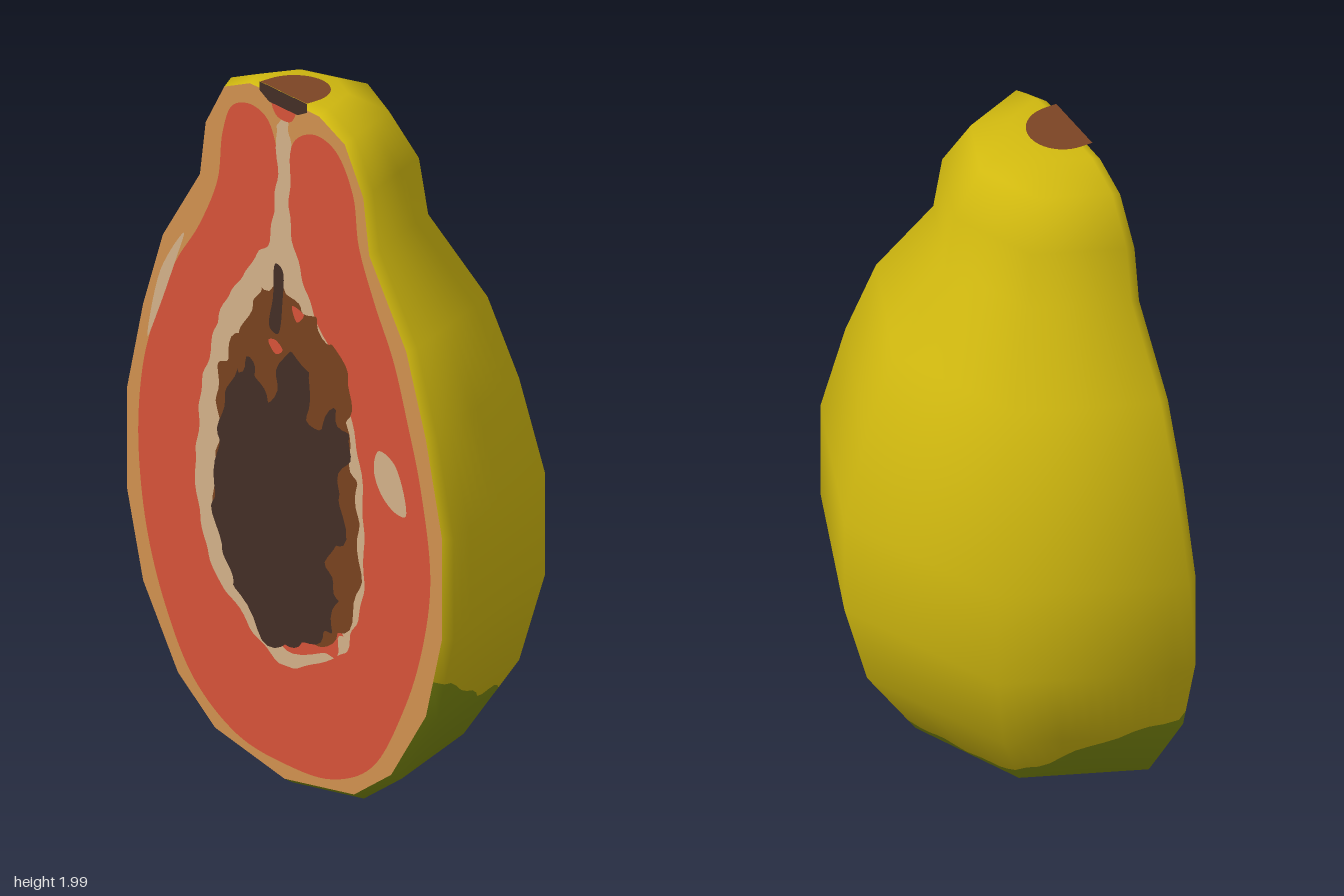
import * as THREE from 'three';

const mat = (name, color, side = THREE.FrontSide) => {
  const m = new THREE.MeshStandardMaterial({ color, side });
  m.name = name;
  return m;
};

// Half outline of the fruit, bottom to top: [radius, height]
const PROFILE = [[0, 0.008], [0.3, 0.06], [0.46, 0.17], [0.61, 0.39], [0.68, 0.64], [0.68, 0.93],
  [0.61, 1.2], [0.525, 1.43], [0.365, 1.66], [0.34, 1.82], [0.26, 1.95], [0.15, 1.996], [0, 1.998]];
const CUT = 0.315, FACE = 0.343;
const insetY = (y) => 1 + (y - 1) * 0.982;

// Smoothed profile normals [radial, vertical]
const NORMALS = PROFILE.map((p, i) => {
  const a = PROFILE[Math.max(i - 1, 0)], b = PROFILE[Math.min(i + 1, PROFILE.length - 1)];
  if (i === 0) return [0, -1];
  if (i === PROFILE.length - 1) return [0, 1];
  const n = new THREE.Vector2(b[1] - a[1], a[0] - b[0]).normalize();
  return [n.x, n.y];
});

function sample(y) {
  let i = 0;
  while (i < PROFILE.length - 2 && y > PROFILE[i + 1][1]) i++;
  const f = THREE.MathUtils.clamp((y - PROFILE[i][1]) / (PROFILE[i + 1][1] - PROFILE[i][1]), 0, 1);
  const mix = (t, k) => t[i][k] + (t[i + 1][k] - t[i][k]) * f;
  return { r: mix(PROFILE, 0), nr: mix(NORMALS, 0), ny: mix(NORMALS, 1) };
}

// Height of the unripe patch around the back, u = 0 (left edge) to 4 (right edge)
const EDGE = [[0, 0.5], [0.3, 0.43], [0.55, 0.36], [0.9, 0.33], [1.4, 0.26], [2, 0.2],
  [2.7, 0.18], [3.2, 0.24], [3.6, 0.37], [4, 0.45]];
function unripeHeight(u) {
  let i = 0;
  while (i < EDGE.length - 2 && u > EDGE[i + 1][0]) i++;
  const f = (u - EDGE[i][0]) / (EDGE[i + 1][0] - EDGE[i][0]);
  return EDGE[i][1] + (EDGE[i + 1][1] - EDGE[i][1]) * f + 0.008 * Math.sin(u * 17);
}

// Half-octagon skin, clamped row by row to one side of the unripe edge
function skinGeometry(clampRow) {
  const pos = [], nor = [], idx = [];
  const cols = [{ u: 0, bevel: true }];
  for (let i = 0; i <= 48; i++) cols.push({ u: i / 12 });
  cols.push({ u: 4, bevel: true });
  const rows = PROFILE.length;
  cols.forEach(({ u, bevel }, c) => {
    const k = Math.min(Math.floor(u), 3), f = u - k;
    const a = (k * Math.PI) / 4, b = ((k + 1) * Math.PI) / 4;
    const dx = Math.cos(a) * (1 - f) + Math.cos(b) * f;
    const dz = Math.sin(a) * (1 - f) + Math.sin(b) * f;
    PROFILE.forEach(([, py], j) => {
      const y = clampRow(py, unripeHeight(u));
      const { r, nr, ny } = sample(y);
      const n = new THREE.Vector3(dx * nr, ny, bevel ? 0.6 : -dz * nr).normalize();
      if (bevel) pos.push(dx * r * 0.978, insetY(y), FACE);
      else pos.push(dx * r, y, CUT - 0.98 * dz * r);
      nor.push(n.x, n.y, n.z);
      if (c < cols.length - 1 && j < rows - 1) {
        const p = c * rows + j, q = p + rows;
        idx.push(p, q, p + 1, q, q + 1, p + 1);
      }
    });
  });
  const g = new THREE.BufferGeometry();
  g.setAttribute('position', new THREE.Float32BufferAttribute(pos, 3));
  g.setAttribute('normal', new THREE.Float32BufferAttribute(nor, 3));
  g.setIndex(idx);
  return g;
}

// Closed smooth outline with an optional ragged edge
function blob(points, rough = 0) {
  const curve = new THREE.CatmullRomCurve3(points.map(([x, y]) => new THREE.Vector3(x, y, 0)), true);
  const n = points.length * 8;
  const pts = curve.getPoints(n).slice(0, n).map((p, i) => new THREE.Vector2(
    p.x + rough * (Math.sin(i * 1.1) + Math.sin(i * 0.47 + 1)),
    p.y + rough * (Math.cos(i * 0.9) + Math.sin(i * 0.61))));
  return new THREE.ShapeGeometry(new THREE.Shape(pts));
}

export function createModel() {
  const group = new THREE.Group();
  const yellow = mat('yellowSkin', 0xd0b80f), green = mat('greenSkin', 0x7f8c10);
  const rim = mat('rimFlesh', 0xd0914f), red = mat('redFlesh', 0xd65238);
  const cream = mat('creamFlesh', 0xd3b088), brown = mat('brownSeeds', 0x78421f);
  const dark = mat('darkSeeds', 0x432e25), stemMat = mat('stemBrown', 0x7c4424, THREE.DoubleSide);

  const add = (name, geometry, material, layer) => {
    const m = new THREE.Mesh(geometry, material);
    m.name = name;
    if (layer !== undefined) m.position.z = FACE + layer * 0.0014;
    group.add(m);
    return m;
  };

  // Skin
  add('ripeSkin', skinGeometry(Math.max), yellow);
  add('unripeSkin', skinGeometry(Math.min), green);

  // Cut face
  const half = PROFILE.map(([r, y]) => new THREE.Vector2(r * 0.978, insetY(y)));
  const other = half.slice(1, -1).reverse().map((p) => new THREE.Vector2(-p.x, p.y));
  add('cutFace', new THREE.ShapeGeometry(new THREE.Shape([...half, ...other])), rim, 0);

  // Red flesh with two lobes at the neck
  add('redFlesh', blob([[0, 0.07], [0.2, 0.09], [0.37, 0.18], [0.5, 0.38], [0.58, 0.58], [0.617, 0.8],
    [0.575, 1.05], [0.52, 1.22], [0.46, 1.38], [0.38, 1.52], [0.315, 1.66], [0.29, 1.8], [0.22, 1.9],
    [0.13, 1.92], [0.04, 1.87], [0.015, 1.75], [0.0, 1.6], [-0.02, 1.7], [-0.03, 1.82], [-0.07, 1.9],
    [-0.14, 1.92], [-0.22, 1.89], [-0.26, 1.8], [-0.28, 1.66], [-0.36, 1.5], [-0.46, 1.36], [-0.56, 1.14],
    [-0.6, 1], [-0.615, 0.8], [-0.58, 0.56], [-0.5, 0.36], [-0.38, 0.19], [-0.2, 0.09]]), red, 1);

  // Pale lining of the cavity, running up the neck
  add('cavityLining', blob([[0, 0.35], [0.13, 0.4], [0.25, 0.47], [0.305, 0.57], [0.34, 0.73], [0.33, 0.95],
    [0.29, 1.15], [0.22, 1.3], [0.11, 1.43], [0.045, 1.57], [0.02, 1.72], [0.03, 1.88], [0, 1.93],
    [-0.03, 1.88], [-0.03, 1.72], [-0.06, 1.57], [-0.13, 1.47], [-0.22, 1.36], [-0.28, 1.25], [-0.33, 1.1],
    [-0.36, 0.95], [-0.37, 0.8], [-0.345, 0.63], [-0.27, 0.51], [-0.14, 0.42]], 0.004), cream, 2);
  add('paleSpot', blob([[0.4, 1.1], [0.47, 1.08], [0.515, 0.95], [0.47, 0.945], [0.41, 0.98], [0.38, 1.04]]), cream, 2);
  add('paleStreak', blob([[-0.575, 1.11], [-0.52, 1.32], [-0.42, 1.46], [-0.46, 1.36], [-0.53, 1.2]]), cream, 2);

  // Red flecks under the seeds
  add('lowerRedFleck', blob([[-0.17, 0.5], [0, 0.41], [0.2, 0.45], [0.25, 0.52], [0, 0.55]], 0.008), red, 3);

  // Seeds
  add('brownSeeds', blob([[-0.04, 1.43], [0.08, 1.41], [0.15, 1.37], [0.26, 1.3], [0.28, 1.15], [0.29, 1],
    [0.325, 0.85], [0.3, 0.62], [0.22, 0.49], [0.06, 0.45], [-0.05, 0.43], [-0.16, 0.5], [-0.25, 0.62],
    [-0.285, 0.8], [-0.27, 1], [-0.26, 1.15], [-0.18, 1.25], [-0.12, 1.37]], 0.009), brown, 4);
  add('darkSeeds', blob([[-0.2, 1.14], [-0.25, 1], [-0.29, 0.82], [-0.27, 0.64], [-0.2, 0.52], [-0.04, 0.4],
    [0.08, 0.44], [0.18, 0.5], [0.23, 0.6], [0.19, 0.7], [0.25, 0.8], [0.24, 0.95], [0.28, 1.08], [0.22, 1.15],
    [0.12, 1.08], [0.11, 1.24], [0.01, 1.24], [-0.06, 1.09], [-0.12, 1.18]], 0.009), dark, 5);
  add('seedStrand', blob([[-0.03, 1.5], [0.0, 1.49], [0.0, 1.4], [-0.02, 1.3], [-0.055, 1.31], [-0.04, 1.4]]), dark, 5);
  add('upperRedFleck', blob([[-0.06, 1.27], [-0.03, 1.28], [0, 1.26], [-0.03, 1.24]]), red, 5);
  add('sideRedFleck', blob([[0.04, 1.4], [0.09, 1.39], [0.06, 1.36]]), red, 5);

  // Stem scar on top and over the front edge
  const scar = new THREE.Shape();
  scar.moveTo(-0.098, 0);
  scar.lineTo(0.098, 0);
  scar.lineTo(0.098, 0.035);
  scar.absarc(0, 0.035, 0.098, 0, Math.PI);
  const top = add('stemScar', new THREE.ShapeGeometry(scar), stemMat);
  top.rotation.x = -Math.PI / 2;
  top.position.set(0, 2, FACE + 0.003);
  add('stemFront', new THREE.ShapeGeometry(new THREE.Shape([[-0.1, 2], [-0.1, 1.975], [-0.06, 1.955],
    [0.06, 1.955], [0.1, 1.975], [0.1, 2]].map(([x, y]) => new THREE.Vector2(x, y)))), dark, 3);
  add('stemRedFleck', blob([[-0.05, 1.96], [-0.03, 1.925], [0.03, 1.925], [0.05, 1.96]]), red, 2.5);
  return group;
}
